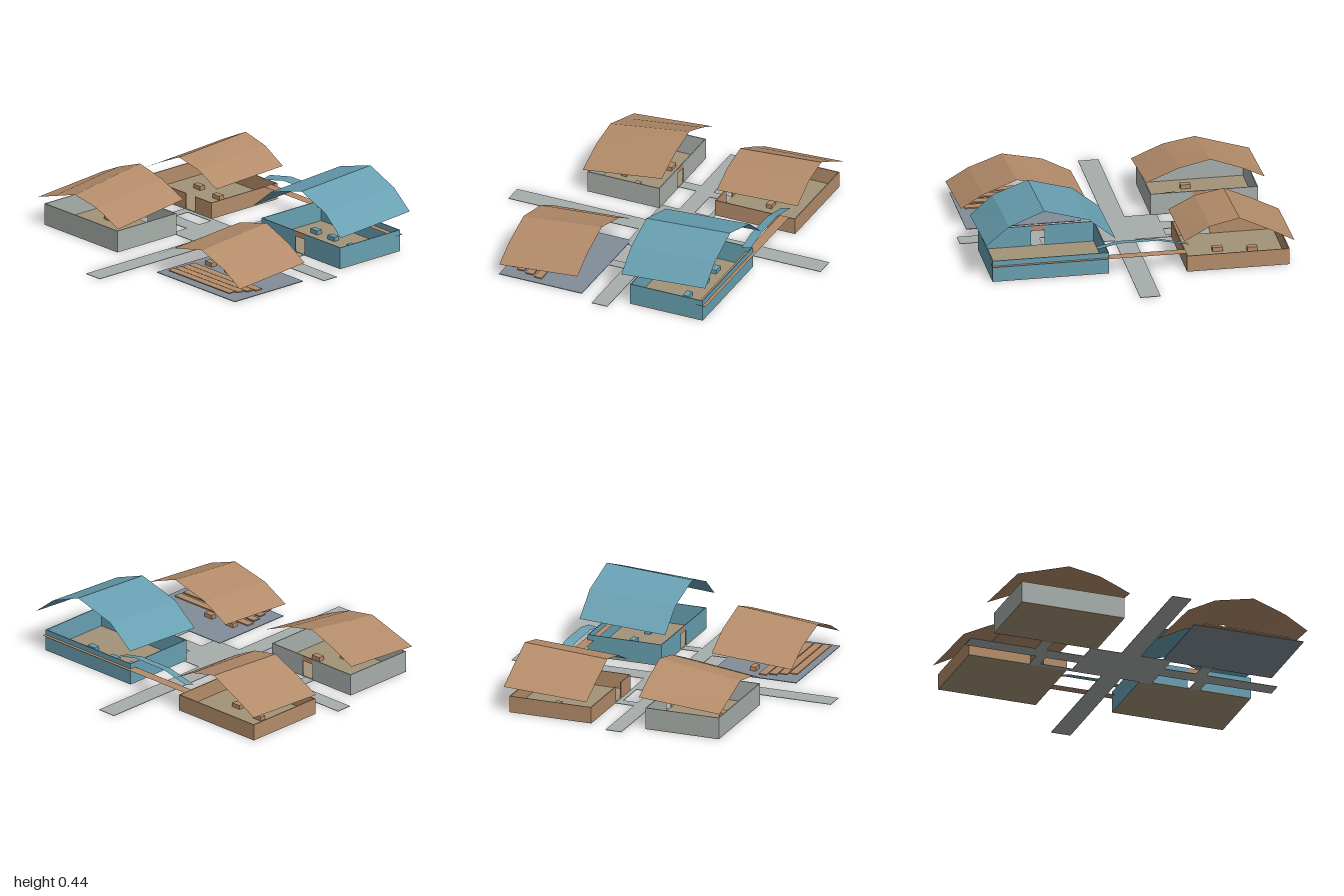
import * as THREE from 'three';

const mat = (name, color, side = THREE.DoubleSide) => {
  const m = new THREE.MeshStandardMaterial({ color, side });
  m.name = name;
  return m;
};

export function createModel() {
  const timber = mat('timber brown', 0xb48c6a);
  const blue = mat('sheet blue', 0x68a0b2);
  const grey = mat('path grey', 0xa7aeaa);
  const tan = mat('floor tan', 0xa39478);
  const slate = mat('slate', 0x828d98);
  const model = new THREE.Group();

  // Box given by its limits on each axis
  function box(name, parent, material, x0, x1, y0, y1, z0, z1) {
    const mesh = new THREE.Mesh(new THREE.BoxGeometry(x1 - x0, y1 - y0, z1 - z0), material);
    mesh.position.set((x0 + x1) / 2, (y0 + y1) / 2, (z0 + z1) / 2);
    mesh.name = name;
    parent.add(mesh);
    return mesh;
  }

  // Thin folded sheet: points are [x, y at the back, y at the front]
  function sheet(name, parent, material, points, zBack, zFront) {
    const pos = [];
    for (let i = 0; i < points.length - 1; i++) {
      const [xa, ab, af] = points[i], [xb, bb, bf] = points[i + 1];
      const p = [xa, ab, zBack], q = [xa, af, zFront], r = [xb, bf, zFront], s = [xb, bb, zBack];
      pos.push(...p, ...q, ...r, ...p, ...r, ...s);
    }
    const g = new THREE.BufferGeometry();
    g.setAttribute('position', new THREE.Float32BufferAttribute(pos, 3));
    g.computeVertexNormals();
    const mesh = new THREE.Mesh(g, material);
    mesh.name = name;
    parent.add(mesh);
  }

  // Open-topped room with a doorway in the wall that faces the plaza
  function room(name, material, [x0, x1, z0, z1], h, doorX, doorAtFront, doorTop) {
    const g = new THREE.Group(), t = 0.006, w = 0.04;
    g.name = name;
    model.add(g);
    box('floor', g, tan, x0, x1, 0.001, 0.007, z0, z1);
    box('leftWall', g, material, x1 - t, x1, 0.001, h, z0, z1);
    box('rightWall', g, material, x0, x0 + t, 0.001, h, z0, z1);
    const solid = doorAtFront ? z0 : z1 - t, open = doorAtFront ? z1 - t : z0;
    box('solidWall', g, material, x0, x1, 0.001, h, solid, solid + t);
    box('doorWallA', g, material, x0, doorX - w, 0.001, h, open, open + t);
    box('doorWallB', g, material, doorX + w, x1, 0.001, h, open, open + t);
    if (doorTop < h) box('lintel', g, timber, doorX - w, doorX + w, doorTop, h, open, open + t);
    return g;
  }

  const desks = (parent, material, spots, y = 0.007) => spots.forEach(([x, z]) =>
    box('desk', parent, material, x - 0.03, x + 0.03, y, y + 0.025, z - 0.018, z + 0.018));

  // Ground paths cut as one outline per strip
  const paths = new THREE.Group();
  paths.name = 'paths';
  model.add(paths);
  [
    [-0.06, 0.06, -1, -0.17], [-0.06, 0.06, 0.165, 1],
    [-0.25, 0.25, -0.17, 0.165],
    [-0.95, -0.25, -0.05, 0.05], [0.25, 0.95, -0.05, 0.05],
    [-0.51, -0.45, -0.17, -0.05], [-0.45, -0.25, -0.17, -0.14],
    [-0.55, -0.48, 0.05, 0.16], [0.48, 0.545, -0.155, -0.05], [0.445, 0.51, 0.05, 0.15],
  ].forEach(([x0, x1, z0, z1]) => box('path', paths, grey, x0, x1, 0, 0.003, z0, z1));

  // Back right-hand timber room
  const timberRoom = room('timberRoom', timber, [-0.88, -0.275, -0.68, -0.167], 0.1, -0.46, true, 0.1);
  sheet('timberRoomRoof', timberRoom, timber, [
    [-0.905, 0.162, 0.138], [-0.76, 0.24, 0.212], [-0.58, 0.328, 0.295],
    [-0.41, 0.29, 0.262], [-0.255, 0.205, 0.185]], -0.705, -0.187);
  desks(timberRoom, timber, [[-0.7, -0.45], [-0.5, -0.42]]);

  // Back left-hand blue room
  const blueRoom = room('blueRoom', blue, [0.175, 0.862, -0.62, -0.155], 0.132, 0.51, true, 0.1);
  sheet('blueRoomRoof', blueRoom, blue, [
    [0.143, 0.235, 0.208], [0.3, 0.365, 0.335], [0.563, 0.44, 0.408],
    [0.77, 0.358, 0.33], [0.905, 0.248, 0.212]], -0.657, -0.12);
  desks(blueRoom, blue, [[0.32, -0.45], [0.47, -0.45], [0.66, -0.43]]);

  // Front right-hand grey room
  const greyRoom = room('greyRoom', grey, [-0.848, -0.212, 0.16, 0.62], 0.132, -0.5, false, 0.1);
  sheet('greyRoomRoof', greyRoom, timber, [
    [-0.882, 0.205, 0.168], [-0.745, 0.27, 0.21], [-0.562, 0.338, 0.267],
    [-0.375, 0.297, 0.235], [-0.26, 0.25, 0.188], [-0.185, 0.218, 0.155]], 0.132, 0.638);
  desks(greyRoom, timber, [[-0.65, 0.29], [-0.37, 0.38], [-0.48, 0.5]]);

  // Open pavilion with tiered seating
  const pavilion = new THREE.Group();
  pavilion.name = 'openPavilion';
  model.add(pavilion);
  box('pavilionFloor', pavilion, slate, 0.198, 0.877, 0.001, 0.005, 0.147, 0.678);
  for (let i = 0; i < 4; i++) {
    const z = 0.63 - i * 0.06, half = 0.265 + i * 0.01, top = 0.032 - i * 0.006;
    box('seatingTier', pavilion, timber, 0.537 - half, 0.537 + half, top - 0.007, top, z - 0.024, z + 0.024);
  }
  desks(pavilion, timber, [[0.32, 0.37], [0.49, 0.37]], 0.005);
  sheet('pavilionRoof', pavilion, timber, [
    [0.165, 0.128, 0.095], [0.335, 0.222, 0.185], [0.573, 0.285, 0.236],
    [0.77, 0.21, 0.165], [0.905, 0.128, 0.085]], 0.162, 0.663);

  // Raised walkway and its canopy between the two back rooms
  sheet('walkway', model, timber, [[-0.275, 0.1, 0.1], [0.865, 0.1, 0.1]], -0.64, -0.58);
  sheet('walkwayCanopy', model, blue, [
    [-0.295, 0.154, 0.14], [-0.11, 0.194, 0.182], [0.12, 0.194, 0.184], [0.245, 0.168, 0.158]], -0.64, -0.58);

  return model;
}
